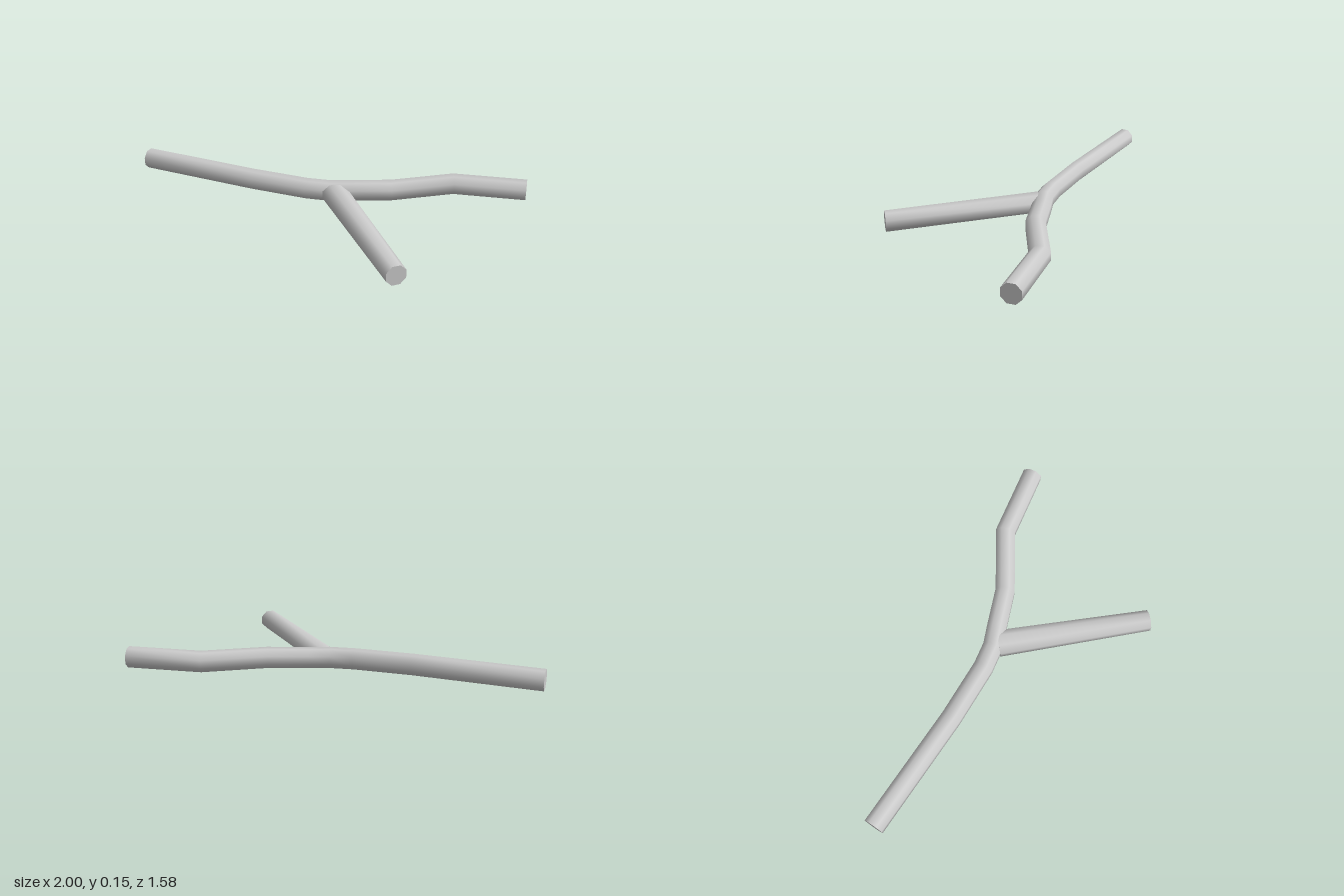
import * as THREE from 'three';
import { mergeGeometries } from 'three/addons/utils/BufferGeometryUtils.js';

const SIDES = 8;

// Indexed surface with smooth normals
function surface(positions, index) {
  const geo = new THREE.BufferGeometry();
  geo.setAttribute('position', new THREE.Float32BufferAttribute(positions, 3));
  geo.setIndex(index);
  geo.computeVertexNormals();
  return geo;
}

// Sweeps an octagon with mitred bends along sections [x, y, z, halfWidth, halfHeight]
function sweep(sections) {
  const centres = sections.map(([x, y, z]) => new THREE.Vector3(x, y, z));
  const last = centres.length - 1;
  const heading = (a, b) => b.clone().sub(a).setY(0).normalize();
  const rings = sections.map(([, , , w, h], i) => {
    const before = heading(centres[Math.max(i - 1, 0)], centres[Math.max(i, 1)]);
    const after = heading(centres[Math.min(i, last - 1)], centres[Math.min(i + 1, last)]);
    const t = before.clone().add(after).normalize();
    const side = new THREE.Vector3(t.z, 0, -t.x).multiplyScalar(w / t.dot(after));
    return Array.from({ length: SIDES }, (_, j) => {
      const a = ((j + 0.5) / SIDES) * Math.PI * 2;
      const p = centres[i].clone().addScaledVector(side, Math.cos(a));
      p.y += h * Math.sin(a);
      return p;
    });
  });

  // Wall
  const index = [];
  for (let i = 0; i < last; i++) {
    for (let j = 0; j < SIDES; j++) {
      const k = (j + 1) % SIDES;
      const a = i * SIDES + j, b = i * SIDES + k;
      index.push(a, b, b + SIDES, a, b + SIDES, a + SIDES);
    }
  }
  const wall = surface(rings.flat().flatMap((p) => p.toArray()), index);

  // Flat end caps
  const cap = (ring, flip) => {
    const faces = [];
    for (let j = 1; j < SIDES - 1; j++) faces.push(0, flip ? j + 1 : j, flip ? j : j + 1);
    return surface(ring.flatMap((p) => p.toArray()), faces);
  };
  return mergeGeometries([wall, cap(rings[0], true), cap(rings[last], false)]);
}

export function createModel() {
  const group = new THREE.Group();
  const material = new THREE.MeshStandardMaterial({ color: 0xcccccc });
  const add = (name, sections) => {
    const mesh = new THREE.Mesh(sweep(sections), material);
    mesh.name = name;
    group.add(mesh);
  };

  // Long bent tube running across the model
  const R = 0.057;
  add('mainTube', [
    [-0.965, 0.089, -0.75],
    [-0.43, 0.087, -0.327],
    [-0.165, 0.085, -0.14],
    [-0.05, 0.085, -0.08],
    [0.06, 0.086, -0.05],
    [0.27, 0.089, 0.012],
    [0.625, 0.094, 0.042],
    [0.98, 0.098, 0.225],
  ].map((p) => [...p, R, R]));

  // Straight side branch, wider where it joins the main tube
  add('sideBranch', [
    [-0.033, 0.084, -0.05, 0.075, 0.054],
    [0.046, 0.058, 0.785, R, R],
  ]);

  return group;
}
